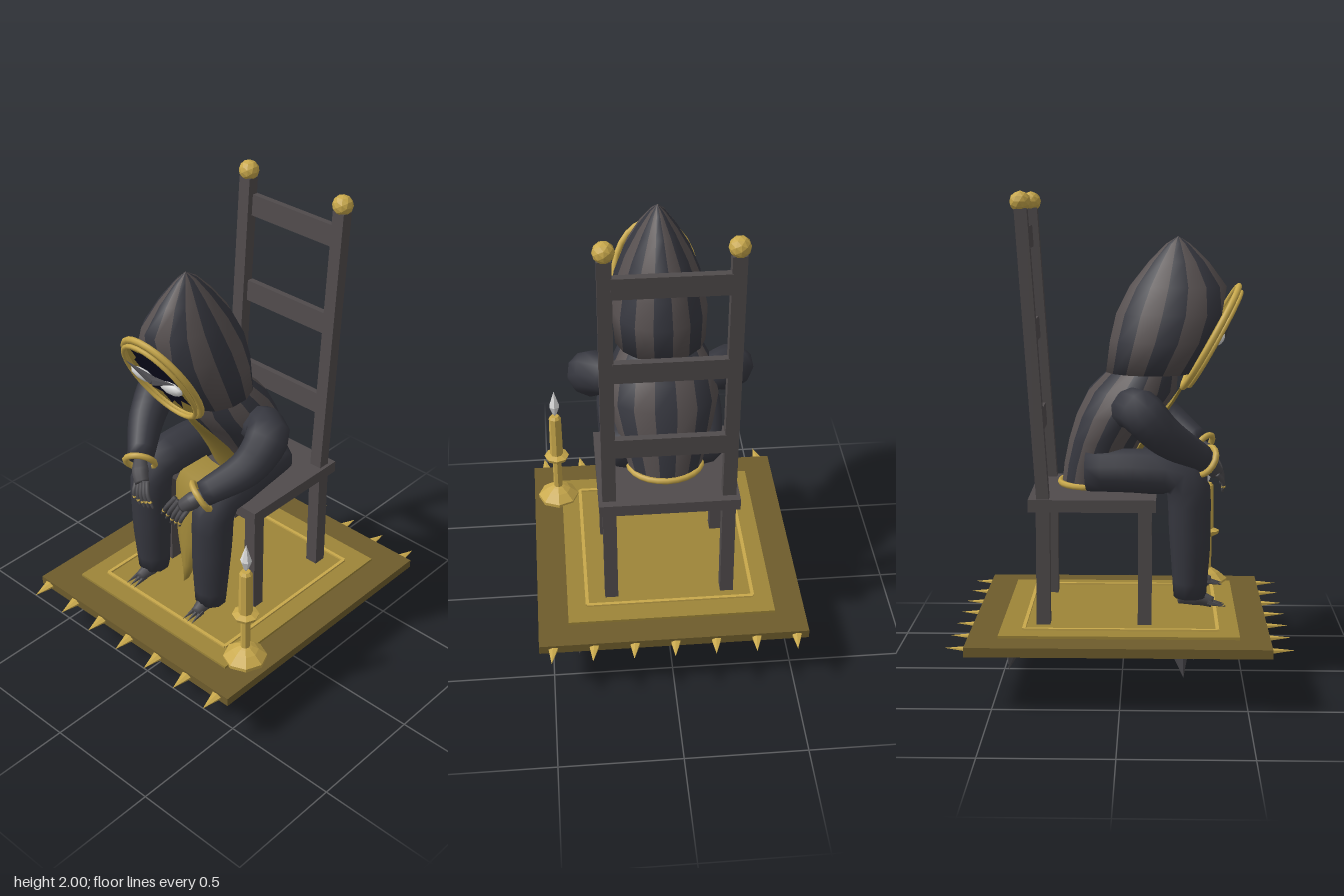
import * as THREE from 'three';
import { mergeVertices } from 'three/addons/utils/BufferGeometryUtils.js';

const mat = (name, color, side = THREE.FrontSide) => {
  const m = new THREE.MeshStandardMaterial({ color, side });
  m.name = name;
  return m;
};
const V = (x, y, z) => new THREE.Vector3(x, y, z);
const UP = V(0, 1, 0);
const flat = (g) => {
  const f = g.index ? g.toNonIndexed() : g;
  f.computeVertexNormals();
  return f;
};

export function createModel() {
  const robe = mat('charcoal robe', 0x36373f, THREE.DoubleSide);
  const stripe = mat('warm grey stripe', 0x575050, THREE.DoubleSide);
  const wood = mat('grey wood', 0x504b4c);
  const gold = mat('gold', 0xc8a84b);
  const lining = mat('old gold cloth', 0x9d8538, THREE.DoubleSide);
  const border = mat('dark gold cloth', 0x6e5c2c);
  const bone = mat('grey bone', 0x4b4a4e);
  const shadow = mat('midnight face', 0x0c0c22, THREE.DoubleSide);
  const white = mat('pale white', 0xdcdcdc);

  const root = new THREE.Group();
  root.name = 'seatedFigure';
  const add = (name, geo, material, pos = [0, 0, 0], parent = root) => {
    const m = new THREE.Mesh(geo, material);
    m.name = name;
    m.position.set(...pos);
    parent.add(m);
    return m;
  };
  const box = (name, size, pos, material) => add(name, new THREE.BoxGeometry(...size), material, pos);
  // Point a shape's own y axis from a to b
  const between = (name, geo, a, b, material, parent) => {
    const m = add(name, geo, material, a.clone().add(b).multiplyScalar(0.5).toArray(), parent);
    m.quaternion.setFromUnitVectors(UP, b.clone().sub(a).normalize());
    return m;
  };
  const spike = (name, a, b, r, material, sides = 6, parent = root) =>
    between(name, flat(new THREE.ConeGeometry(r, a.distanceTo(b), sides)), a, b, material, parent);

  // Capped limb of varying thickness along a smooth path
  const limb = (name, pts, radii, material) => {
    const n = 16, sides = 10, c = new THREE.CatmullRomCurve3(pts);
    const g = new THREE.TubeGeometry(c, n, 1, sides), p = g.attributes.position;
    for (let i = 0; i <= n; i++) {
      const t = THREE.MathUtils.clamp((i - 1) / (n - 2), 0, 1);
      const k = t * (radii.length - 1), a = Math.min(Math.floor(k), radii.length - 2);
      const r = i === 0 || i === n ? 0.0005 : THREE.MathUtils.lerp(radii[a], radii[a + 1], k - a);
      const from = c.getPointAt(i / n), to = c.getPointAt(t);
      for (let j = 0; j <= sides; j++) {
        const id = i * (sides + 1) + j;
        const v = V(0, 0, 0).fromBufferAttribute(p, id).sub(from).multiplyScalar(r).add(to);
        p.setXYZ(id, v.x, v.y, v.z);
      }
    }
    g.deleteAttribute('uv');
    g.deleteAttribute('normal');
    const s = mergeVertices(g, 1e-5);
    s.computeVertexNormals();
    return add(name, s, material);
  };

  // Striped shell from rows of [y, back z, front z, half width]
  const shell = (name, rows, clampZ) => {
    const n = 16, pos = [], sets = [[], []];
    rows.forEach(([y, zb, zf, rx]) => {
      for (let j = 0; j < n; j++) {
        const a = ((j - 0.5) / n) * Math.PI * 2;
        pos.push(rx * Math.sin(a), y, Math.min((zb + zf) / 2 + ((zf - zb) / 2) * Math.cos(a), clampZ(y)));
      }
    });
    for (let i = 0; i < rows.length - 1; i++) for (let j = 0; j < n; j++) {
      const a = i * n + j, b = i * n + ((j + 1) % n);
      sets[j % 2].push(a, b, b + n, a, b + n, a + n);
    }
    const g = new THREE.BufferGeometry();
    g.setAttribute('position', new THREE.Float32BufferAttribute(pos, 3));
    g.setIndex([...sets[0], ...sets[1]]);
    g.addGroup(0, sets[0].length, 0);
    g.addGroup(sets[0].length, sets[1].length, 1);
    g.computeVertexNormals();
    return add(name, g, [robe, stripe]);
  };

  // Cloth panel from rows of [y, half width], depth from a rule
  const panel = (name, rows, depth, material) => {
    const n = 6, pos = [], idx = [];
    rows.forEach(([y, w, z]) => {
      for (let j = 0; j <= n; j++) {
        const u = (j / n) * 2 - 1;
        pos.push(u * w, y, depth(u * w, y, z, u));
      }
    });
    for (let i = 0; i < rows.length - 1; i++) for (let j = 0; j < n; j++) {
      const a = i * (n + 1) + j, b = a + n + 1;
      idx.push(a, b, b + 1, a, b + 1, a + 1);
    }
    const g = new THREE.BufferGeometry();
    g.setAttribute('position', new THREE.Float32BufferAttribute(pos, 3));
    g.setIndex(idx);
    g.computeVertexNormals();
    return add(name, g, material);
  };

  // Rug with raised centre, trim line, fringe and hanging shards
  box('rugBorder', [1.11, 0.037, 1.19], [0, 0.247, -0.005], border);
  box('rugCentre', [0.86, 0.012, 0.95], [0, 0.27, -0.005], lining);
  for (const s of [-1, 1]) {
    box('rugTrimSide', [0.014, 0.01, 0.77], [s * 0.348, 0.279, 0], gold);
    box('rugTrimEnd', [0.7, 0.01, 0.014], [0, 0.279, s * 0.385], gold);
    for (let i = -3; i <= 3; i++)
      spike('rugFringe', V(i * 0.167 - 0.005, 0.247, s * 0.585), V(i * 0.167 + 0.005, 0.247, s * 0.68), 0.026, gold, 6).scale.z = 0.45;
  }
  [[0.01, 0.33, -0.02, 0.05, 0.3, 0.05], [0.38, -0.37, 0.39, 0, -0.39, 0.055],
   [-0.35, 0.23, -0.395, 0.1, 0.25, 0.05], [-0.33, -0.42, -0.31, 0.1, -0.45, 0.045]].forEach(([x, z, tx, ty, tz, r]) =>
    spike('hangingShard', V(x, 0.235, z), V(tx, ty, tz), r, bone));

  // Ladder-back chair
  box('seat', [0.57, 0.05, 0.51], [0, 0.765, -0.115], wood);
  const postZ = (y) => -0.312 - (y - 0.79) * 0.067;
  for (const s of [-1, 1]) {
    box('frontLeg', [0.055, 0.48, 0.055], [s * 0.243, 0.505, 0.095], wood);
    box('backLeg', [0.055, 0.48, 0.055], [s * 0.243, 0.505, -0.312], wood);
    between('backPost', new THREE.BoxGeometry(0.055, 1.15, 0.05), V(s * 0.243, 0.785, postZ(0.785)), V(s * 0.243, 1.93, postZ(1.93)), wood);
    add('finial', flat(new THREE.IcosahedronGeometry(0.042, 1)), gold, [s * 0.243, 1.958, -0.39]);
  }
  for (const y of [1.065, 1.435, 1.815])
    box('backRail', [0.44, 0.09, 0.028], [0, y, postZ(y) - 0.014], wood).rotation.x = -0.067;

  // Cloaked torso and pointed hood
  const torso = [[0.81, -0.25, -0.01, 0.15], [0.9, -0.24, 0.03, 0.175], [1.0, -0.22, 0.085, 0.205],
    [1.1, -0.19, 0.155, 0.23], [1.2, -0.14, 0.225, 0.21], [1.3, -0.04, 0.23, 0.15]];
  shell('torso', torso, () => 1);
  const faceZ = (y) => 0.24 + (y - 1.22) * 0.55;
  shell('hood', [[1.27, 0.05, 0.2, 0.06], [1.272, -0.07, 0.32, 0.188], [1.4, -0.055, 0.41, 0.2], [1.51, -0.03, 0.445, 0.18],
    [1.62, 0.025, 0.425, 0.136], [1.72, 0.105, 0.35, 0.08], [1.79, 0.175, 0.275, 0.032], [1.82, 0.224, 0.226, 0.001]], faceZ);
  const hem = add('cloakHem', new THREE.TorusGeometry(0.15, 0.013, 6, 24), gold, [0, 0.815, -0.13]);
  hem.rotation.x = Math.PI / 2;
  hem.scale.y = 0.85;

  // Gold front panel follows the torso; loincloth drapes over the seat edge
  const chestZ = (x, y) => {
    const i = THREE.MathUtils.clamp(torso.findIndex((r) => r[0] >= y) - 1, 0, torso.length - 2);
    const t = (y - torso[i][0]) / (torso[i + 1][0] - torso[i][0]);
    const [, zb, zf, rx] = torso[i].map((v, k) => THREE.MathUtils.lerp(v, torso[i + 1][k], t));
    return (zb + zf) / 2 + ((zf - zb) / 2) * Math.sqrt(1 - (x / rx) ** 2);
  };
  panel('chestPanel', [[1.21, 0.004], [1.15, 0.042], [1.08, 0.068], [1.0, 0.086], [0.9, 0.1], [0.82, 0.108]],
    (x, y, z, u) => chestZ(x, y) + 0.014 + 0.012 * (1 - Math.abs(u)), lining);
  panel('loincloth', [[0.85, 0.112, 0.02], [0.84, 0.115, 0.15], [0.79, 0.112, 0.19], [0.68, 0.1, 0.21], [0.55, 0.072, 0.225],
    [0.44, 0.036, 0.235], [0.36, 0.001, 0.24]], (x, y, z, u) => z + 0.03 * (1 - u * u), lining);

  // Tilted face: plate, double rim, jagged shadow, eyes and brows
  const face = new THREE.Group();
  face.name = 'face';
  face.position.set(0, 1.417, 0.352);
  face.rotation.x = 0.5;
  root.add(face);
  add('facePlate', new THREE.CircleGeometry(1, 28), lining, [0, 0, 0.008], face).scale.set(0.17, 0.228, 1);
  [[0.172, 0.232, 0.008, 0.07], [0.16, 0.218, 0.028, 0.05]].forEach(([w, h, z, tube]) =>
    add('faceRim', new THREE.TorusGeometry(1, tube, 8, 28), gold, [0, 0, z], face).scale.set(w, h, 0.19));
  const half = [[0, 0.155], [0.03, 0.185], [0.045, 0.15], [0.09, 0.15], [0.085, 0.1], [0.11, 0.07], [0.085, -0.05],
    [0.105, -0.11], [0.05, -0.11], [0.03, -0.175], [0, -0.14]];
  const outline = [...half, ...half.slice(1, -1).reverse().map(([x, y]) => [-x, y])];
  add('faceShadow', new THREE.ShapeGeometry(new THREE.Shape(outline.map(([x, y]) => new THREE.Vector2(x, y)))), shadow, [0, 0, 0.016], face);
  for (const s of [-1, 1]) {
    const eye = add('eye', new THREE.SphereGeometry(1, 10, 8), white, [s * 0.077, 0.016, 0.035], face);
    eye.scale.set(0.06, 0.032, 0.02);
    eye.rotation.z = s * 0.12;
    spike('brow', V(s * 0.005, 0.03, 0.045), V(s * 0.135, 0.085, 0.04), 0.018, bone, 5, face);
  }

  // Limbs, cuffs, bony hands and feet
  for (const s of [-1, 1]) {
    const P = (x, y, z) => V(s * x, y, z);
    limb('leg', [P(0.15, 0.885, -0.14), P(0.172, 0.887, 0.1), P(0.178, 0.86, 0.25), P(0.175, 0.65, 0.275), P(0.168, 0.37, 0.278)],
      [0.085, 0.092, 0.088, 0.082, 0.066], robe);
    limb('arm', [P(0.14, 1.12, 0.02), P(0.285, 1.155, 0.065), P(0.285, 1.05, 0.17), P(0.18, 0.94, 0.325)],
      [0.07, 0.09, 0.075, 0.055], robe);
    const cuff = add('cuff', new THREE.TorusGeometry(0.062, 0.013, 6, 16), gold, [s * 0.172, 0.93, 0.335]);
    cuff.quaternion.setFromUnitVectors(V(0, 0, 1), P(-0.1, -0.11, 0.15).normalize());
    limb('palm', [P(0.18, 0.94, 0.325), P(0.14, 0.9, 0.365), P(0.115, 0.875, 0.38)], [0.026, 0.036, 0.03], bone);
    for (let i = 0; i < 5; i++) {
      const knuckle = P(0.145 - i * 0.016, 0.872 + i * 0.008, 0.385);
      const tip = P(0.125 - i * 0.025, 0.785 + Math.abs(i - 1.5) * 0.01, 0.41);
      limb('finger', [knuckle, knuckle.clone().lerp(tip, 0.5).add(V(0, 0, 0.012)), tip], [0.011, 0.009, 0.005], bone);
      add('fingerRing', flat(new THREE.IcosahedronGeometry(0.009, 0)), gold, knuckle.clone().lerp(tip, 0.75).add(V(0, 0, 0.008)).toArray());
    }
    limb('foot', [P(0.167, 0.365, 0.23), P(0.165, 0.363, 0.31), P(0.168, 0.345, 0.37)], [0.026, 0.034, 0.022], bone);
    for (let i = -1; i <= 1; i++)
      spike('toe', P(0.168 + i * 0.016, 0.348, 0.35), P(0.17 + i * 0.024, 0.332, 0.425), 0.013, bone, 5);
  }

  // Candlestick, candle and flame
  const lathe = (name, pts, material, sides = 8) =>
    add(name, flat(new THREE.LatheGeometry(pts.map(([r, y]) => new THREE.Vector2(r, y)), sides)), material, [0.446, 0, 0.368]);
  lathe('candlestick', [[0, 0.27], [0.09, 0.27], [0.09, 0.285], [0.055, 0.315], [0.03, 0.33], [0.02, 0.335], [0.02, 0.475],
    [0.05, 0.49], [0.055, 0.505], [0.03, 0.515], [0, 0.515]], gold);
  lathe('candle', [[0, 0.51], [0.029, 0.51], [0.027, 0.71], [0.018, 0.722], [0, 0.722]], gold);
  lathe('flame', [[0, 0.722], [0.01, 0.735], [0.024, 0.775], [0.01, 0.82], [0, 0.852]], white, 6);
  return root;
}
